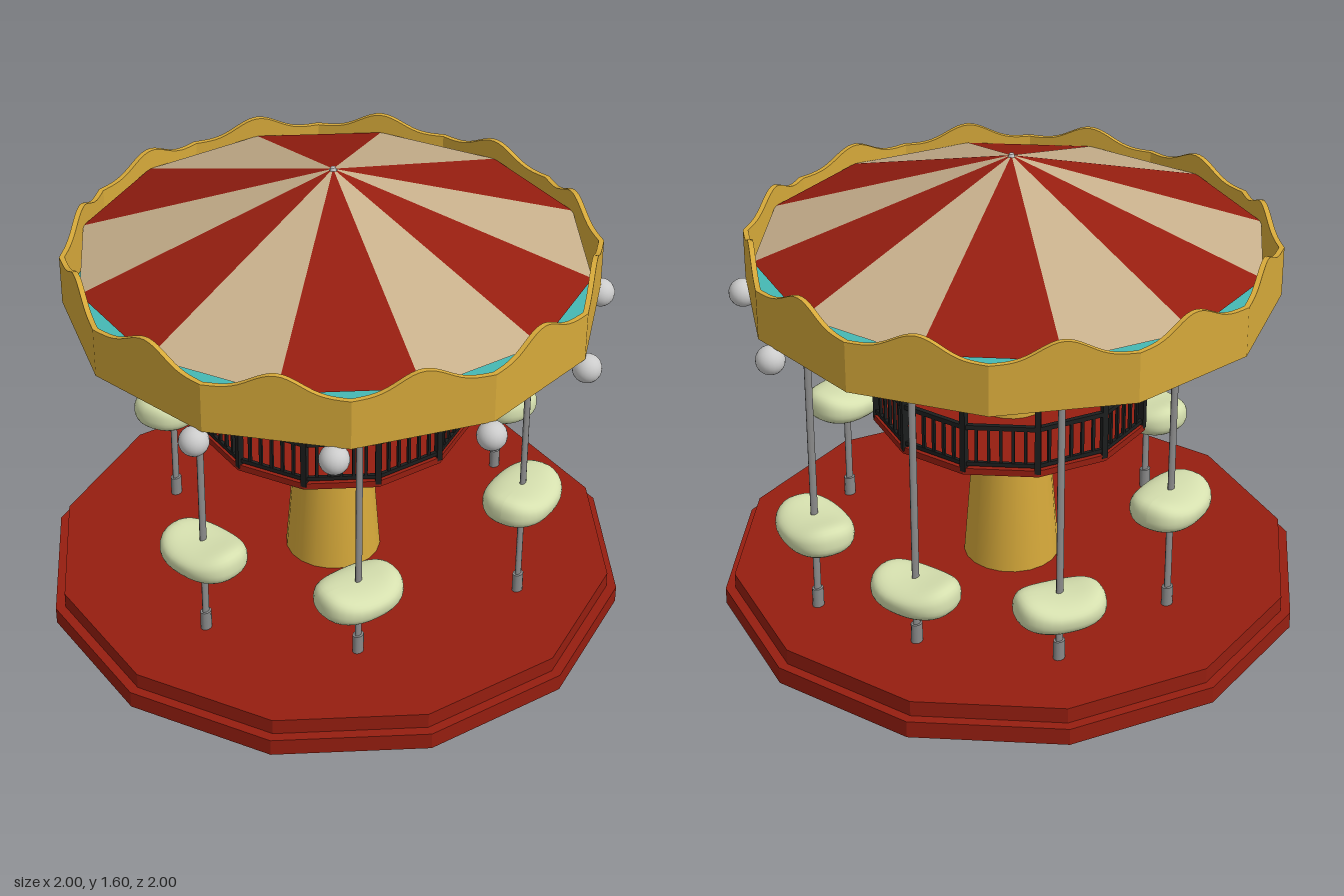
import * as THREE from 'three';

const mat = (color, flatShading = true, side = THREE.FrontSide) =>
  new THREE.MeshStandardMaterial({ color, flatShading, side });

const red = mat(0x961e10), gold = mat(0xd6a93a), goldSmooth = mat(0xd6a93a, false);
const redSkirt = mat(0x961e10, false, THREE.DoubleSide);
const stripes = [mat(0xc8b08c, true, THREE.DoubleSide), mat(0x961e10, true, THREE.DoubleSide)];
const teal = mat(0x45b8b4), iron = mat(0x1c1e1e), steel = mat(0x8a8a8a, false);
const grey = mat(0xcccccc, false), cream = mat(0xd5dfae, false);

const STEP = Math.PI / 6;

export function createModel() {
  const model = new THREE.Group();

  const add = (name, geometry, material, x = 0, y = 0, z = 0, parent = model) => {
    const mesh = new THREE.Mesh(geometry, material);
    mesh.name = name;
    mesh.position.set(x, y, z);
    parent.add(mesh);
    return mesh;
  };
  // Upright cylinder given by its bottom and top heights
  const drum = (name, rTop, rBottom, y0, y1, sides, material, x = 0, z = 0) =>
    add(name, new THREE.CylinderGeometry(rTop, rBottom, y1 - y0, sides), material, x, (y0 + y1) / 2, z);

  // Two-step twelve-sided base
  drum('baseStep', 1, 1, 0, 0.06, 12, red);
  drum('platform', 0.966, 0.966, 0.06, 0.115, 12, red);

  // Central column with two scalloped collars
  drum('column', 0.085, 0.165, 0.115, 1.14, 20, goldSmooth);
  const collar = (name, rTop, rBottom, y0, y1, depth) => {
    const mesh = drum(name, rTop, rBottom, y0 + depth, y1, 96, redSkirt);
    const p = mesh.geometry.attributes.position;
    for (let i = 0; i < p.count; i++) {
      if (p.getY(i) > 0) continue;
      const a = Math.atan2(p.getX(i), p.getZ(i));
      p.setY(i, p.getY(i) - depth * Math.sqrt(Math.abs(Math.sin(6 * a))));
    }
    mesh.geometry.computeVertexNormals();
  };
  collar('lowerCollar', 0.17, 0.155, 0.55, 0.675, 0.025);
  collar('upperCollar', 0.105, 0.1, 1.08, 1.14, 0.02);

  // Balcony with posts, rails and balusters
  drum('balconyFloor', 0.47, 0.47, 0.67, 0.693, 12, red);
  const railing = new THREE.Group();
  railing.name = 'railing';
  model.add(railing);
  const R = 0.46, half = R * Math.sin(STEP / 2), apothem = R * Math.cos(STEP / 2);
  const post = new THREE.BoxGeometry(0.02, 0.46, 0.02);
  const topRail = new THREE.BoxGeometry(half * 2, 0.016, 0.016);
  const lowRail = new THREE.BoxGeometry(half * 2, 0.014, 0.012);
  const baluster = new THREE.BoxGeometry(0.01, 0.14, 0.01);
  for (let i = 0; i < 12; i++) {
    const side = new THREE.Group();
    side.name = 'railingSide';
    side.rotation.y = (i + 0.5) * STEP;
    railing.add(side);
    add('topRail', topRail, iron, 0, 0.843, apothem, side);
    add('lowRail', lowRail, iron, 0, 0.708, apothem, side);
    for (let k = -2; k <= 2; k++) add('baluster', baluster, iron, k * half / 3, 0.775, apothem, side);
    add('balconyPost', post, iron, half, 0.91, apothem, side);
  }

  // Ceiling and striped roof
  drum('ceiling', 0.867, 0.867, 1.14, 1.16, 12, teal).rotation.y = STEP / 2;
  for (let i = 0; i < 12; i++) {
    add('roofPanel', new THREE.CylinderGeometry(0.012, 0.843, 0.3, 1, 1, true, i * STEP, STEP),
      stripes[i % 2], 0, 1.44, 0);
  }
  drum('roofTip', 0.008, 0.014, 1.575, 1.6, 12, grey);

  // Valance: one wavy board per side
  const w = 0.855 * Math.tan(STEP / 2);
  const board = new THREE.Shape();
  board.moveTo(-w, 1.13);
  board.lineTo(w, 1.13);
  for (let k = 0; k <= 24; k++) {
    const x = w * (1 - k / 12);
    board.lineTo(x, 1.3 + 0.06 * Math.cos(Math.PI * x / (2 * w)) ** 4);
  }
  const boardGeometry = new THREE.ExtrudeGeometry(board, { depth: 0.017, bevelEnabled: false });
  boardGeometry.translate(0, 0, 0.838);
  for (let i = 0; i < 12; i++) add('valance', boardGeometry, gold).rotation.y = i * STEP;

  // Round lamps under the rim on one side
  const lamp = new THREE.SphereGeometry(0.048, 20, 14);
  for (const [x, z] of [[0.16, -0.86], [0.61, -0.65], [0.85, -0.25], [0.855, 0.24], [0.58, 0.65], [0.2, 0.86]])
    add('lamp', lamp, grey, x, 1.085, z);

  // Saddle-shaped seat: a blunt ellipsoid dipped in the middle
  const seat = new THREE.SphereGeometry(1, 32, 20);
  const p = seat.attributes.position;
  const blunt = (t) => Math.sign(t) * Math.abs(t) ** 0.85;
  for (let i = 0; i < p.count; i++) {
    const u = p.getX(i), v = p.getY(i), s = p.getZ(i);
    const y = v > 0 ? blunt(v) * 0.062 * (0.8 + 0.9 * u * u) : blunt(v) * 0.068;
    p.setXYZ(i, blunt(u) * 0.153, y + 0.005, blunt(s) * 0.118);
  }
  seat.computeVertexNormals();

  // Seats on poles: x, z, seat height, turn in degrees
  const rides = [
    [0, 0.64, 0.43, 0], [0.46, 0.395, 0.355, 78], [0.655, -0.21, 0.51, 100], [0.145, -0.73, 0.42, 169],
    [-0.235, -0.61, 0.31, 195], [-0.61, -0.32, 0.315, 250], [-0.61, 0.165, 0.51, 285],
  ];
  for (const [x, z, y, turn] of rides) {
    drum('pole', 0.014, 0.014, 0.115, 1.145, 10, steel, x, z).scale.x = 0.6;
    drum('poleFoot', 0.021, 0.021, 0.115, 0.185, 10, steel, x, z).scale.x = 0.8;
    add('seat', seat, cream, x, y, z).rotation.y = THREE.MathUtils.degToRad(turn);
  }

  return model;
}
